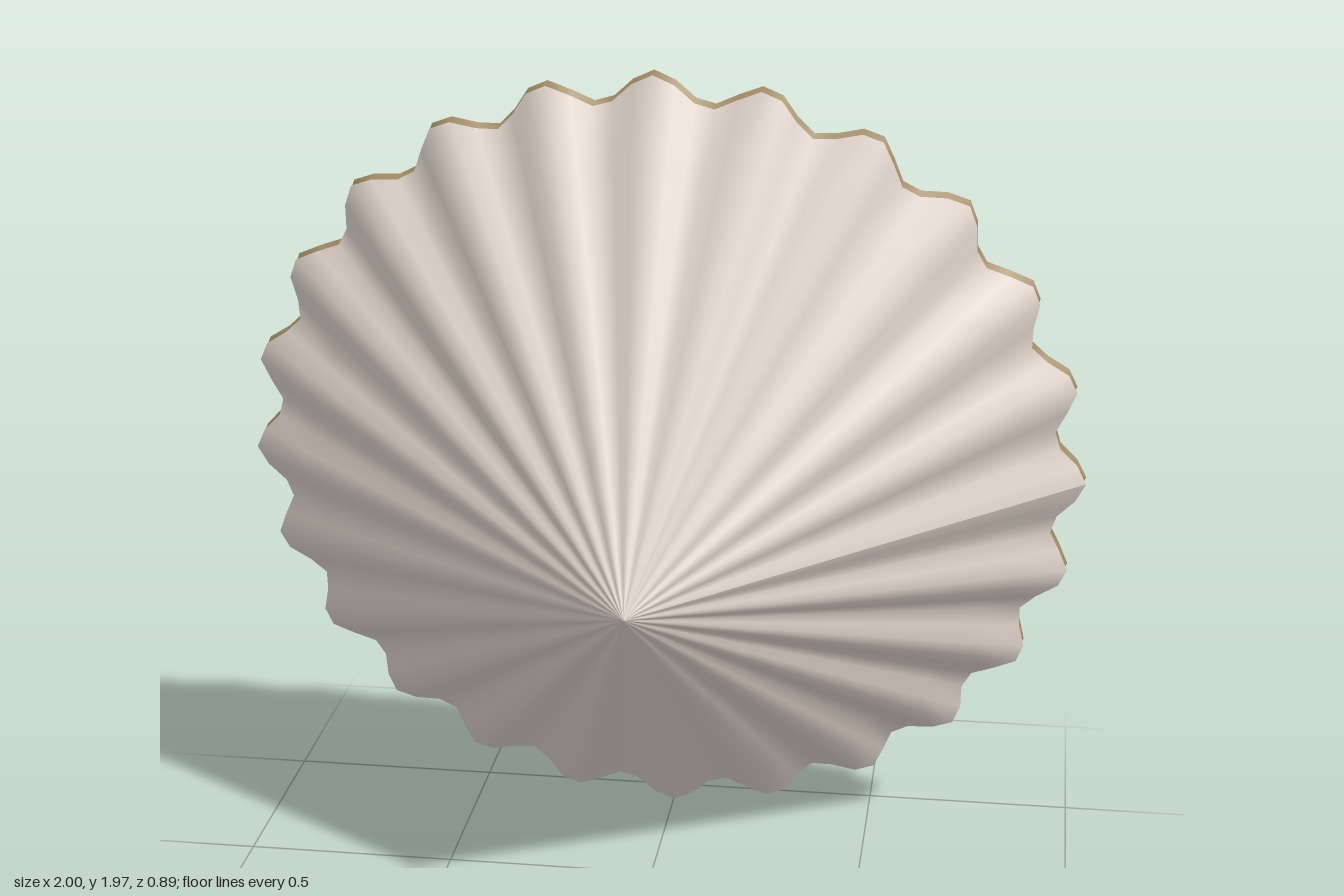
import * as THREE from 'three';

const PLEATS = 24, SEGMENTS = 128, HEIGHT = 0.672, DEPTH = 0.035, TILT = 0.2;

// Open cone pointing to +z with its rim at z = 0, its radius waving around the axis
function pleatedCone() {
  const geometry = new THREE.ConeGeometry(1, HEIGHT, SEGMENTS, 8, true);
  geometry.translate(0, HEIGHT / 2, 0).rotateX(Math.PI / 2).rotateZ(Math.PI / 2);
  const p = geometry.attributes.position;
  for (let i = 0; i < p.count; i++) {
    const x = p.getX(i), y = p.getY(i);
    const k = 1 - DEPTH + DEPTH * Math.cos(PLEATS * Math.atan2(y, x));
    p.setXY(i, x * k, y * k);
  }
  geometry.computeVertexNormals();
  return geometry;
}

export function createModel() {
  const model = new THREE.Group();
  model.name = 'pleatedShade';
  const geometry = pleatedCone();

  const addShell = (name, color, offset) => {
    const shell = new THREE.Mesh(geometry,
      new THREE.MeshStandardMaterial({ color, side: THREE.DoubleSide }));
    shell.name = name;
    shell.position.z = offset;
    model.add(shell);
  };
  addShell('outerPleats', 0xe8dcd2, 0);
  addShell('innerLining', 0xb09870, -0.033); // nested just behind the outer shell

  // Apex forward and slightly down
  model.rotation.x = TILT;
  model.position.set(0, 0.98, -0.214);
  const root = new THREE.Group();
  root.add(model);
  return root;
}
